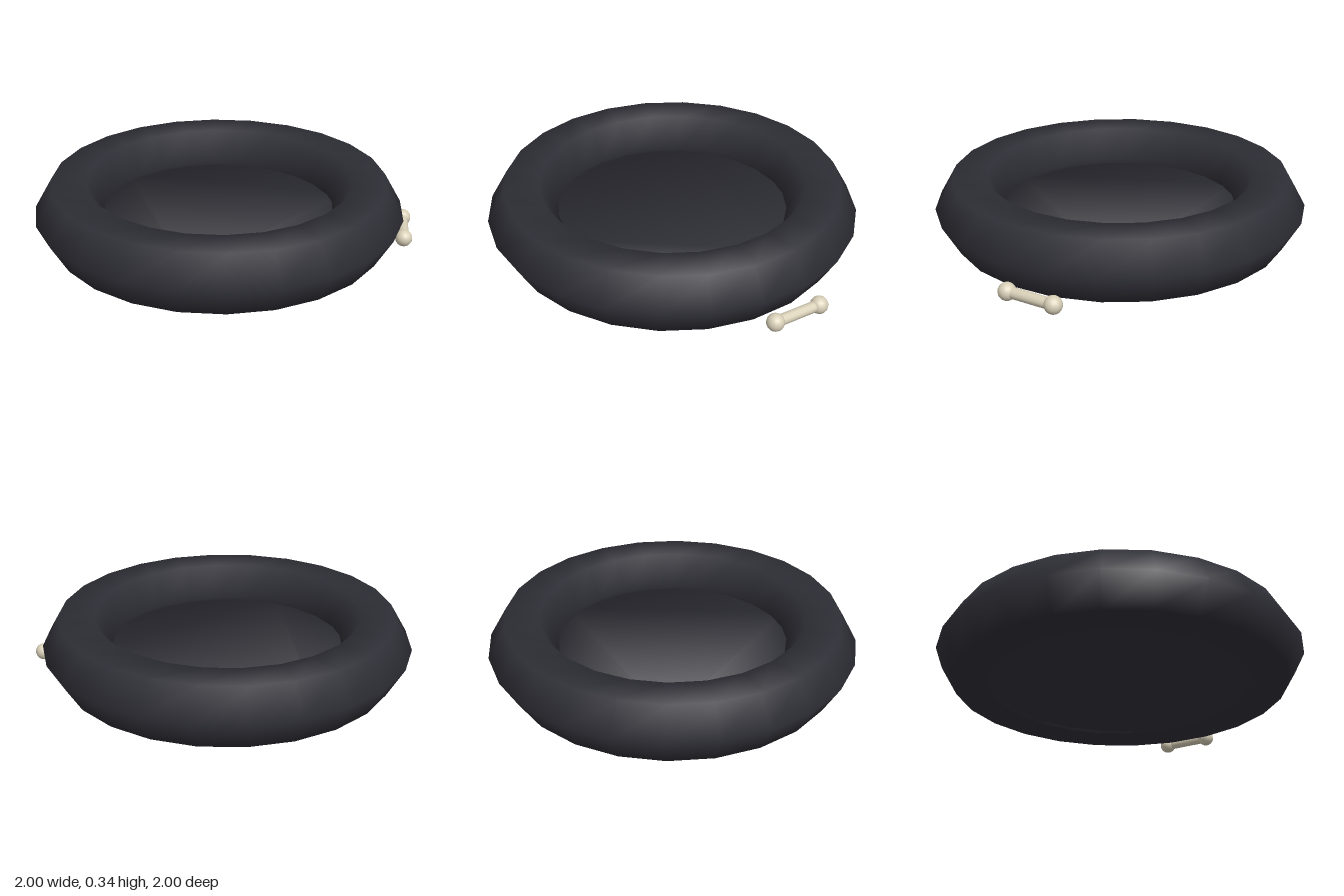
import * as THREE from 'three';

export function createModel() {
  const group = new THREE.Group();
  const fabric = new THREE.MeshStandardMaterial({ color: 0x2e2e36 });
  fabric.name = 'darkFabric';
  const ivory = new THREE.MeshStandardMaterial({ color: 0xd9d0b8 });
  ivory.name = 'ivory';

  const add = (name, geometry, material, x = 0, y = 0, z = 0) => {
    const mesh = new THREE.Mesh(geometry, material);
    mesh.name = name;
    mesh.position.set(x, y, z);
    group.add(mesh);
    return mesh;
  };

  // Padded rim: six-sided tube swept round in 24 steps
  add('bedRim', new THREE.TorusGeometry(0.811, 0.188, 6, 24).rotateX(Math.PI / 2), fabric, 0, 0.181, 0);

  // Cushion: flat disc whose rim normals lean outward for a soft look
  const radius = 0.725, bottom = 0.037, height = 0.113;
  const outline = new THREE.Shape();
  for (let i = 0; i < 24; i++) {
    const a = (i / 24) * Math.PI * 2;
    const x = radius * Math.cos(a), y = radius * Math.sin(a);
    if (i === 0) outline.moveTo(x, y);
    else outline.lineTo(x, y);
  }
  outline.closePath();
  const disc = new THREE.ExtrudeGeometry(outline, { depth: height, bevelEnabled: false });
  disc.rotateX(-Math.PI / 2);
  const pos = disc.attributes.position;
  const normal = new THREE.Vector3();
  for (let i = 0; i < pos.count; i++) {
    const side = pos.getY(i) > height / 2 ? 1 : -1;
    normal.set(pos.getX(i) / radius, side, pos.getZ(i) / radius).normalize();
    disc.attributes.normal.setXYZ(i, normal.x, normal.y, normal.z);
  }
  add('cushion', disc, fabric, 0, bottom, 0);

  // Toy bone lying against the rim: a rod with a knob on each end
  const ends = [new THREE.Vector3(0.558, 0.052, 0.84), new THREE.Vector3(0.774, 0.052, 0.688)];
  const along = ends[1].clone().sub(ends[0]);
  const middle = ends[0].clone().add(ends[1]).multiplyScalar(0.5);
  const rod = add('boneShaft', new THREE.CylinderGeometry(0.029, 0.029, along.length(), 12), ivory, ...middle);
  rod.quaternion.setFromUnitVectors(new THREE.Vector3(0, 1, 0), along.normalize());
  for (const p of ends) add('boneKnob', new THREE.SphereGeometry(0.046, 16, 12), ivory, ...p);

  return group;
}
